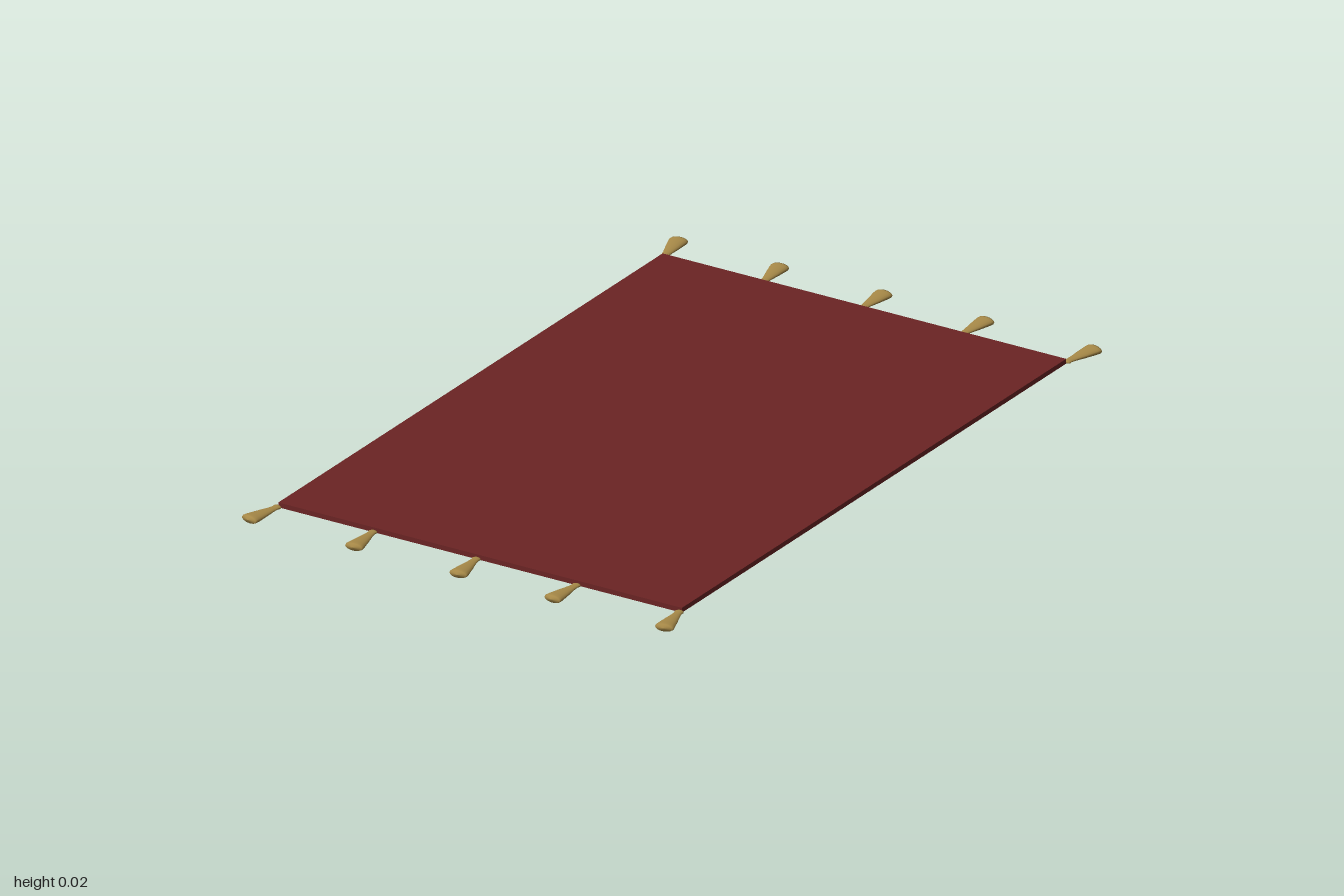
import * as THREE from 'three';

export function createModel() {
  const model = new THREE.Group();
  const red = new THREE.MeshStandardMaterial({ color: 0x6b2424 });
  red.name = 'dark red cloth';
  const gold = new THREE.MeshStandardMaterial({ color: 0xa88a48 });
  gold.name = 'old gold thread';

  // Thin flat cloth
  const cloth = new THREE.Mesh(new THREE.BoxGeometry(1.18, 0.013, 1.77), red);
  cloth.name = 'cloth';
  cloth.position.y = 0.0135;
  model.add(cloth);

  // Tassel: small knot, narrow neck and flared skirt, flattened in height
  const profile = [
    [0, 0], [0.009, 0.001], [0.012, 0.006], [0.010, 0.013], [0.012, 0.03], [0.018, 0.06],
    [0.024, 0.095], [0.025, 0.104], [0.023, 0.109], [0, 0.113],
  ].map(([r, t]) => new THREE.Vector2(r, t));
  const tasselGeometry = new THREE.LatheGeometry(profile, 16);
  tasselGeometry.rotateX(Math.PI / 2);
  tasselGeometry.scale(1, 0.42, 1);

  // Each entry: x at the knot, x at the tip
  const rows = [
    { name: 'front', side: 1, ends: [[-0.588, -0.609], [-0.31, -0.301], [-0.008, 0.004], [0.286, 0.279], [0.585, 0.606]] },
    { name: 'back', side: -1, ends: [[-0.588, -0.61], [-0.299, -0.314], [-0.01, -0.01], [0.282, 0.289], [0.588, 0.607]] },
  ];
  for (const { name, side, ends } of rows) {
    const row = new THREE.Group();
    row.name = name + 'Tassels';
    ends.forEach(([knot, tip], i) => {
      const tassel = new THREE.Mesh(tasselGeometry, gold);
      tassel.name = `${name}Tassel${i + 1}`;
      tassel.position.set(knot, 0.0105, side * 0.885);
      tassel.rotation.y = Math.atan2(tip - knot, side * 0.11);
      row.add(tassel);
    });
    model.add(row);
  }
  return model;
}
